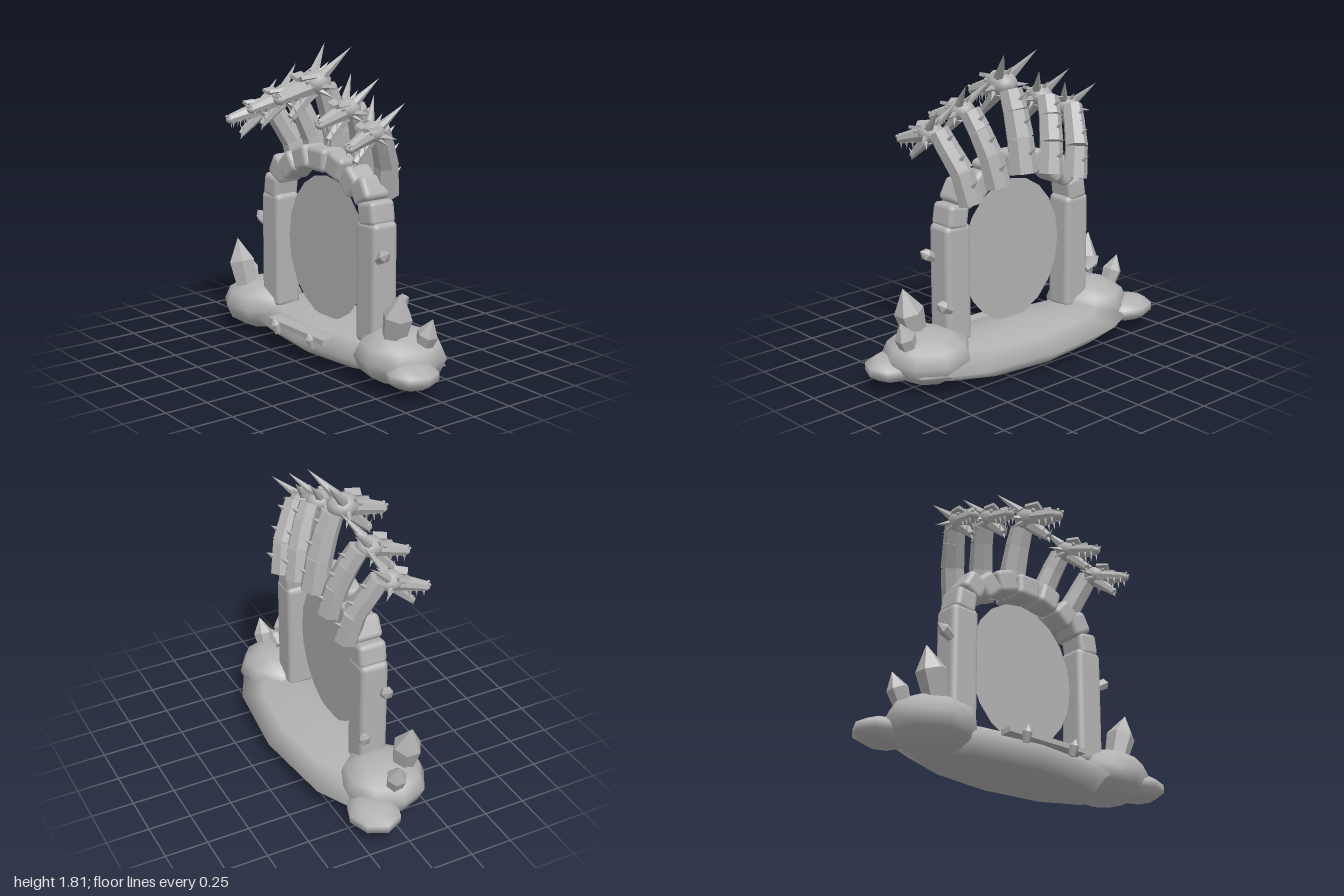
import * as THREE from 'three';
import { toCreasedNormals } from 'three/addons/utils/BufferGeometryUtils.js';
import { RoundedBoxGeometry } from 'three/addons/geometries/RoundedBoxGeometry.js';

const stone = new THREE.MeshStandardMaterial({ color: 0xb2b2b2, side: THREE.DoubleSide });
stone.name = 'stoneGrey';
const V = (x, y, z) => new THREE.Vector3(x, y, z);
const UP = V(0, 1, 0);

function add(parent, name, geometry, x = 0, y = 0, z = 0) {
  const mesh = new THREE.Mesh(geometry, stone);
  mesh.name = name;
  mesh.position.set(x, y, z);
  parent.add(mesh);
  return mesh;
}

// Faceted tapered rod from a to b; r1 = 0 makes a spike
function rod(parent, name, a, b, r0, r1, sides) {
  const dir = b.clone().sub(a);
  const g = new THREE.CylinderGeometry(r1, r0, dir.length(), sides, 1, false, Math.PI, Math.PI * 2);
  const mid = a.clone().add(b).multiplyScalar(0.5);
  const mesh = add(parent, name, toCreasedNormals(g, 0.3), mid.x, mid.y, mid.z);
  mesh.quaternion.setFromUnitVectors(UP, dir.normalize());
  return mesh;
}

// Hexagonal crystal, widening slightly and ending in a point
function crystal(parent, name, a, b, r) {
  const dir = b.clone().sub(a), h = dir.length();
  const profile = [[0, 0], [r * 0.7, 0], [r, h * 0.6], [0, h]].map(p => new THREE.Vector2(...p));
  const mesh = add(parent, name, toCreasedNormals(new THREE.LatheGeometry(profile, 6), 0.3), a.x, a.y, a.z);
  mesh.quaternion.setFromUnitVectors(UP, dir.normalize());
}

// Coarse ellipsoid boulder
function boulder(parent, name, c, r, w, h, turn) {
  const g = new THREE.SphereGeometry(1, w, h);
  g.rotateY(turn).scale(...r);
  add(parent, name, g, ...c);
}

// Head with its skull at the origin, facing +z
function makeHead() {
  const head = new THREE.Group();
  head.name = 'dragonHead';
  const skull = new THREE.IcosahedronGeometry(0.085, 1);
  skull.scale(1, 0.85, 1.1);
  add(head, 'skull', skull);
  rod(head, 'muzzle', V(0, -0.015, 0.04), V(0, -0.075, 0.25), 0.06, 0.035, 8);
  const nose = new THREE.SphereGeometry(0.036, 8, 6);
  nose.scale(1, 0.8, 1);
  add(head, 'nose', nose, 0, -0.077, 0.245);
  rod(head, 'lowerJaw', V(0, -0.05, 0.03), V(0, -0.185, 0.17), 0.046, 0.024, 6);
  rod(head, 'chinSpike', V(0, -0.15, 0.14), V(0, -0.225, 0.18), 0.024, 0, 5);
  rod(head, 'crest', V(0, 0.05, -0.03), V(0, 0.11, -0.09), 0.022, 0, 4);
  for (const s of [-1, 1]) {
    rod(head, 'horn', V(s * 0.045, 0.045, -0.02), V(s * 0.125, 0.2, -0.155), 0.032, 0, 6);
    rod(head, 'cheekSpike', V(s * 0.06, -0.015, 0), V(s * 0.17, -0.02, -0.04), 0.024, 0, 5);
    rod(head, 'jawSpike', V(s * 0.055, -0.04, 0.01), V(s * 0.12, -0.08, -0.04), 0.018, 0, 5);
    const brow = add(head, 'brow', new THREE.BoxGeometry(0.055, 0.022, 0.09), s * 0.042, 0.035, 0.085);
    brow.rotation.set(0.1, s * -0.25, s * 0.4);
    add(head, 'eye', new THREE.SphereGeometry(0.014, 6, 4), s * 0.046, 0.012, 0.088);
    add(head, 'nostril', new THREE.SphereGeometry(0.011, 6, 4), s * 0.017, -0.055, 0.27);
    for (let i = 0; i < 3; i++) {
      const z = 0.13 + i * 0.05, x = s * (0.037 - i * 0.004);
      rod(head, 'upperTooth', V(x, -0.07 - i * 0.012, z), V(x, -0.125 - i * 0.008, z + 0.005), 0.009, 0, 4);
    }
    rod(head, 'lowerTooth', V(s * 0.025, -0.155, 0.15), V(s * 0.028, -0.115, 0.175), 0.008, 0, 4);
  }
  return head;
}

// Neck in three stepped segments with back spines, topped by a head
function makeDragon(path, headPos, yaw, roll, size) {
  const dragon = new THREE.Group();
  dragon.name = 'dragon';
  for (let i = 0; i < path.length - 1; i++) {
    const r = (0.085 - i * 0.005) * (0.3 + 0.7 * size);
    rod(dragon, 'neckSegment', path[i], path[i + 1], r, r * 0.92, 7);
    const m = path[i].clone().lerp(path[i + 1], 0.6);
    rod(dragon, 'neckSpine', V(m.x, m.y, m.z - r * 0.8), V(m.x, m.y + 0.04, m.z - r - 0.035), 0.018, 0, 4);
  }
  const head = makeHead();
  head.position.copy(headPos);
  head.rotation.set(0, yaw, roll);
  head.scale.setScalar(size);
  dragon.add(head);
  return dragon;
}

export function createModel() {
  const model = new THREE.Group();
  model.name = 'dragonPortal';

  // Ground island and boulders
  boulder(model, 'islandBase', [0, 0.125, -0.07], [0.88, 0.122, 0.32], 10, 4, Math.PI / 2);
  boulder(model, 'leftBoulder', [0.65, 0.175, 0], [0.26, 0.155, 0.26], 9, 6, 0.3);
  boulder(model, 'rightBoulder', [-0.63, 0.175, 0.03], [0.26, 0.155, 0.25], 9, 6, 0);
  boulder(model, 'leftSmallBoulder', [0.84, 0.13, 0.08], [0.16, 0.075, 0.155], 8, 5, 0);
  boulder(model, 'rightSmallBoulder', [-0.82, 0.13, -0.13], [0.18, 0.075, 0.155], 8, 5, 0);

  // Step and its small crystals
  add(model, 'step', new THREE.BoxGeometry(0.54, 0.03, 0.08), 0, 0.185, 0.21);

  // Portal surface
  const disc = new THREE.CircleGeometry(1, 20, Math.PI / 2);
  disc.scale(0.37, 0.425, 1);
  add(model, 'portalDisc', disc, 0, 0.645, 0.02);

  for (const s of [-1, 1]) {
    crystal(model, 'stepCrystal', V(s * 0.165, 0.13, 0.25), V(s * 0.17, 0.225, 0.28), 0.028);

    // Pillars with side crystals
    add(model, 'pillar', new RoundedBoxGeometry(0.18, 0.7, 0.17, 2, 0.035), s * 0.46, 0.55, 0.02);
    crystal(model, 'pillarCrystal', V(s * 0.53, 0.69, 0.07), V(s * 0.635, 0.755, 0.07), 0.036);
    crystal(model, 'pillarCrystal', V(s * 0.53, 0.42, -0.06), V(s * 0.635, 0.485, -0.07), 0.036);

    // Crystals on the boulders
    const zBig = s > 0 ? 0.07 : 0.13, zSmall = s > 0 ? -0.03 : 0.01;
    crystal(model, 'largeCrystal', V(s * 0.66, 0.22, zBig), V(s * 0.755, 0.565, zBig + 0.01), 0.085);
    crystal(model, 'smallCrystal', V(s * 0.78, 0.2, zSmall), V(s * 0.87, 0.425, zSmall - 0.01), 0.06);

    // Arch blocks: x, y, tilt
    for (const [x, y, tilt] of [[0.455, 0.94, 0.15], [0.39, 1.055, 0.5], [0.29, 1.09, 0.85], [0.16, 1.155, 1.25]]) {
      const block = add(model, 'archBlock', new RoundedBoxGeometry(0.14, 0.14, 0.17, 2, 0.03), s * x, y, 0.02);
      block.rotation.z = s * tilt;
    }

    // Side dragons
    model.add(makeDragon(
      [V(s * 0.4, 1.02, -0.09), V(s * 0.44, 1.2, -0.06), V(s * 0.48, 1.32, 0), V(s * 0.51, 1.42, 0.05)],
      V(s * 0.52, 1.405, 0.1), s * 0.3, s * -0.12, 0.82));
    model.add(makeDragon(
      [V(s * 0.2, 1.08, -0.09), V(s * 0.235, 1.26, -0.06), V(s * 0.27, 1.4, -0.01), V(s * 0.295, 1.5, 0.04)],
      V(s * 0.3, 1.5, 0.1), s * 0.15, s * -0.03, 0.85));
  }

  // Keystone and central dragon
  add(model, 'keystone', new RoundedBoxGeometry(0.16, 0.14, 0.17, 2, 0.03), 0, 1.17, 0.02);
  model.add(makeDragon(
    [V(0, 1.12, -0.08), V(0, 1.32, -0.05), V(0, 1.47, -0.01), V(0, 1.58, 0.03)],
    V(0, 1.61, 0.095), 0, 0, 1));
  return model;
}
